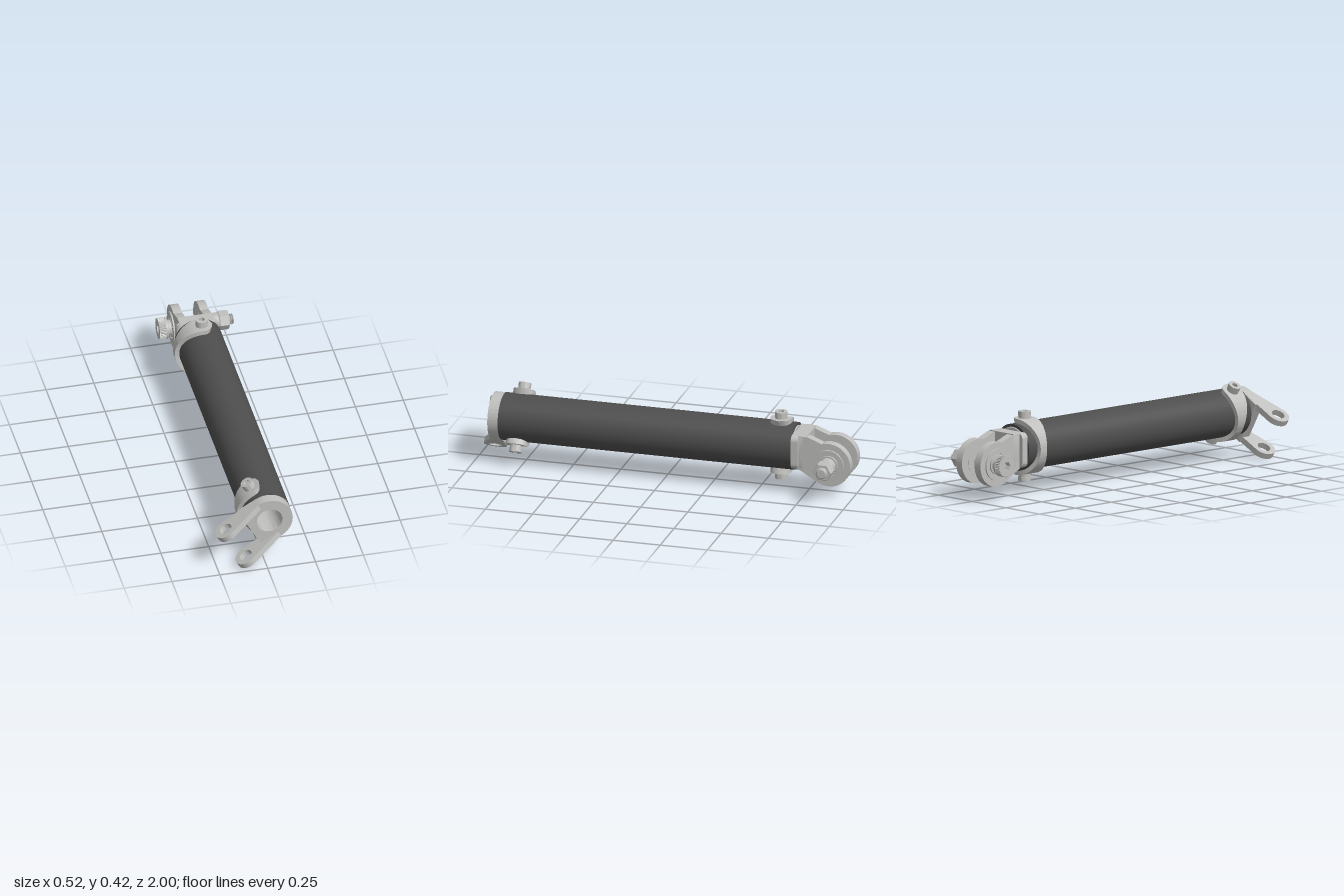
import * as THREE from 'three';
import { toCreasedNormals } from 'three/addons/utils/BufferGeometryUtils.js';

const CX = 0.03, CY = 0.24, PIN_Y = 0.188, PIN_Z = -0.885;
const rad = THREE.MathUtils.degToRad;

export function createModel() {
  const metal = new THREE.MeshStandardMaterial({ color: 0xbfbfbd });
  metal.name = 'light metal';
  const dark = new THREE.MeshStandardMaterial({ color: 0x4e4e4e });
  dark.name = 'dark tube';

  const add = (parent, name, geo, mat = metal) => {
    const mesh = new THREE.Mesh(geo, mat);
    mesh.name = name;
    parent.add(mesh);
    return mesh;
  };
  const group = (parent, name) => {
    const g = new THREE.Group();
    g.name = name;
    parent.add(g);
    return g;
  };
  const extrude = (shape, depth) => toCreasedNormals(
    new THREE.ExtrudeGeometry(shape, { depth, bevelEnabled: false, curveSegments: 28 }), 0.5);
  const lathe = (pts, seg = 40) => toCreasedNormals(
    new THREE.LatheGeometry(pts.map(p => new THREE.Vector2(...p)), seg), 0.5);
  // closed ring profile: inner radius, outer radius, start and end along the axis
  const ring = (ri, ro, a, b, seg) => lathe([[ri, a], [ro, a], [ro, b], [ri, b], [ri, a]], seg);
  const solid = (r, a, b, c = 0.003, seg = 40) =>
    lathe([[0, a], [r - c, a], [r, a + c], [r, b - c], [r - c, b], [0, b]], seg);
  const polygon = (n, radius, Type = THREE.Path) => {
    const pts = [];
    for (let i = 0; i < n; i++) {
      const a = i / n * Math.PI * 2, r = typeof radius === 'function' ? radius(i) : radius;
      pts.push(new THREE.Vector2(r * Math.cos(a), r * Math.sin(a)));
    }
    return new Type(pts);
  };
  const circleHole = (shape, x, y, r) => {
    shape.holes.push(new THREE.Path().absarc(x, y, r, 0, Math.PI * 2, true));
    return shape;
  };

  const model = new THREE.Group();
  model.name = 'strut';

  // Main tube
  const body = group(model, 'body');
  body.position.set(CX, CY, 0);
  add(body, 'tube', ring(0.107, 0.122, -0.69, 0.86, 72).rotateX(Math.PI / 2), dark);
  add(body, 'frontSleeve', ring(0.067, 0.107, 0.66, 0.86, 48).rotateX(Math.PI / 2));
  add(body, 'rearPlug', solid(0.107, -0.695, -0.54).rotateX(Math.PI / 2));

  // Front fork: bored cap and two slanted lugs
  const fork = group(model, 'frontFork');
  fork.position.set(CX, CY, 0);
  fork.rotation.z = rad(30);
  const cap = new THREE.Shape();
  cap.moveTo(-0.107, 0.121);
  cap.lineTo(-0.107, -0.121);
  cap.lineTo(0, -0.121);
  cap.absarc(0, 0, 0.121, -Math.PI / 2, Math.PI / 2, false);
  cap.closePath();
  add(fork, 'frontCap', extrude(circleHole(cap, 0, 0, 0.067), 0.055)).position.z = 0.86;
  const lug = new THREE.Shape();
  lug.moveTo(0, 0.86);
  lug.lineTo(0, 0.915);
  lug.absarc(-0.203, 0.94, 0.06, rad(66), rad(264.5), false);
  lug.closePath();
  circleHole(lug, -0.203, 0.94, 0.034);
  for (const top of [0.1212, -0.09]) {
    add(fork, 'frontLug', extrude(lug, 0.0312).rotateX(Math.PI / 2)).position.y = top;
  }

  // Half strap: flat rounded pads at both ends, narrowing at the middle
  const strapGeometry = () => {
    const pos = [], idx = [], n = 64, over = 0.362, R = 0.145, W = 0.055;
    for (let i = 0; i <= n; i++) {
      const a = -over + (Math.PI + 2 * over) * i / n;
      const b = a < Math.PI / 2 ? a : Math.PI - a;
      const r = b < 0 ? R / Math.cos(b) : R;
      const u = R * Math.tan(b);
      const t = Math.max(0, Math.sin(b));
      const w = b < 0 ? Math.sqrt(Math.max(1e-5, W * W - u * u)) : W - 0.033 * t * t;
      for (const [q, z] of [[0.115, -w], [r, -w], [r, w], [0.115, w]]) {
        pos.push(-q * Math.sin(a), q * Math.cos(a), z);
      }
    }
    for (let i = 0; i < n; i++) for (let j = 0; j < 4; j++) {
      const p = i * 4 + j, q = i * 4 + (j + 1) % 4;
      idx.push(p, p + 4, q, q, p + 4, q + 4);
    }
    const e = n * 4;
    idx.push(0, 1, 2, 0, 2, 3, e, e + 2, e + 1, e, e + 3, e + 2);
    const g = new THREE.BufferGeometry();
    g.setAttribute('position', new THREE.Float32BufferAttribute(pos, 3));
    g.setIndex(idx);
    return toCreasedNormals(g, 0.5);
  };
  const socketHead = (r, depth) => {
    const s = new THREE.Shape().absarc(0, 0, r, 0, Math.PI * 2, false);
    s.holes.push(polygon(6, r * 0.5));
    return extrude(s, depth).rotateX(-Math.PI / 2);
  };
  for (const [z, angle, name] of [[0.775, 30, 'frontStrap'], [-0.608, 0, 'rearStrap']]) {
    const strap = group(model, name);
    strap.position.set(CX, CY, z);
    strap.rotation.z = rad(angle);
    const band = add(strap, 'strapBand', strapGeometry());
    band.material = metal;
    for (const turn of [0, Math.PI]) {
      const screw = group(strap, 'strapScrew');
      screw.rotation.z = turn;
      add(screw, 'screwShank', solid(0.031, 0.09, 0.162));
      add(screw, 'screwHead', socketHead(0.0325, 0.022)).position.y = 0.158;
    }
  }

  // Rear clevis: rounded base, block and two round-ended plates
  const clevis = group(model, 'rearClevis');
  const base = (w, h, c) => {
    const s = new THREE.Shape(), x = w / 2 - c, y = h / 2 - c;
    s.absarc(x, y, c, 0, Math.PI / 2, false);
    s.absarc(-x, y, c, Math.PI / 2, Math.PI, false);
    s.absarc(-x, -y, c, Math.PI, Math.PI * 1.5, false);
    s.absarc(x, -y, c, Math.PI * 1.5, Math.PI * 2, false);
    s.closePath();
    return s;
  };
  add(clevis, 'clevisBase', extrude(base(0.222, 0.18, 0.03), 0.037)).position.set(CX, CY, -0.727);
  add(clevis, 'clevisBlock', extrude(base(0.182, 0.18, 0.005), 0.05)).position.set(CX, CY, -0.77);
  const plate = new THREE.Shape();
  plate.moveTo(-0.725, 0.15);
  plate.lineTo(-0.725, 0.33);
  plate.lineTo(-0.78, 0.325);
  plate.absarc(PIN_Z, PIN_Y, 0.115, rad(72), rad(303), false);
  plate.closePath();
  circleHole(plate, PIN_Z, PIN_Y, 0.07);
  for (const right of [-0.017, 0.121]) {
    add(clevis, 'clevisPlate', extrude(plate, 0.044).rotateY(-Math.PI / 2)).position.x = right;
  }

  // Clevis pin, bushings, knurled head and nut, all along x
  const pin = group(model, 'clevisPin');
  pin.position.set(0, PIN_Y, PIN_Z);
  const along = (name, geo) => add(pin, name, geo.rotateZ(-Math.PI / 2));
  along('pinShaft', solid(0.028, -0.1, 0.2));
  for (const [a, b, f0, f1] of [[-0.06, -0.018, -0.069, -0.06], [0.076, 0.12, 0.12, 0.131]]) {
    along('bushing', ring(0.028, 0.072, a, b));
    along('bushingFlange', ring(0.058, 0.082, f0, f1));
    along('bushingFace', ring(0.028, 0.05, f0, f1));
  }
  along('headCollar', solid(0.04, -0.09, -0.06));
  const knurl = polygon(80, i => (i % 2 ? 0.0525 : 0.056), THREE.Shape);
  knurl.holes.push(polygon(6, 0.024));
  add(pin, 'knurledHead', extrude(knurl, 0.035).rotateY(-Math.PI / 2)).position.x = -0.1;
  along('headRim', solid(0.055, -0.104, -0.087));
  along('nutCollar', solid(0.043, 0.131, 0.18));
  along('hexNut', solid(0.05, 0.178, 0.234, 0.006, 6));
  const thread = [[0, 0.22]];
  for (let i = 0; i < 4; i++) thread.push([0.022, 0.222 + i * 0.009], [0.028, 0.2265 + i * 0.009]);
  thread.push([0.022, 0.258], [0, 0.258]);
  along('threadedEnd', lathe(thread, 32));

  return model;
}
